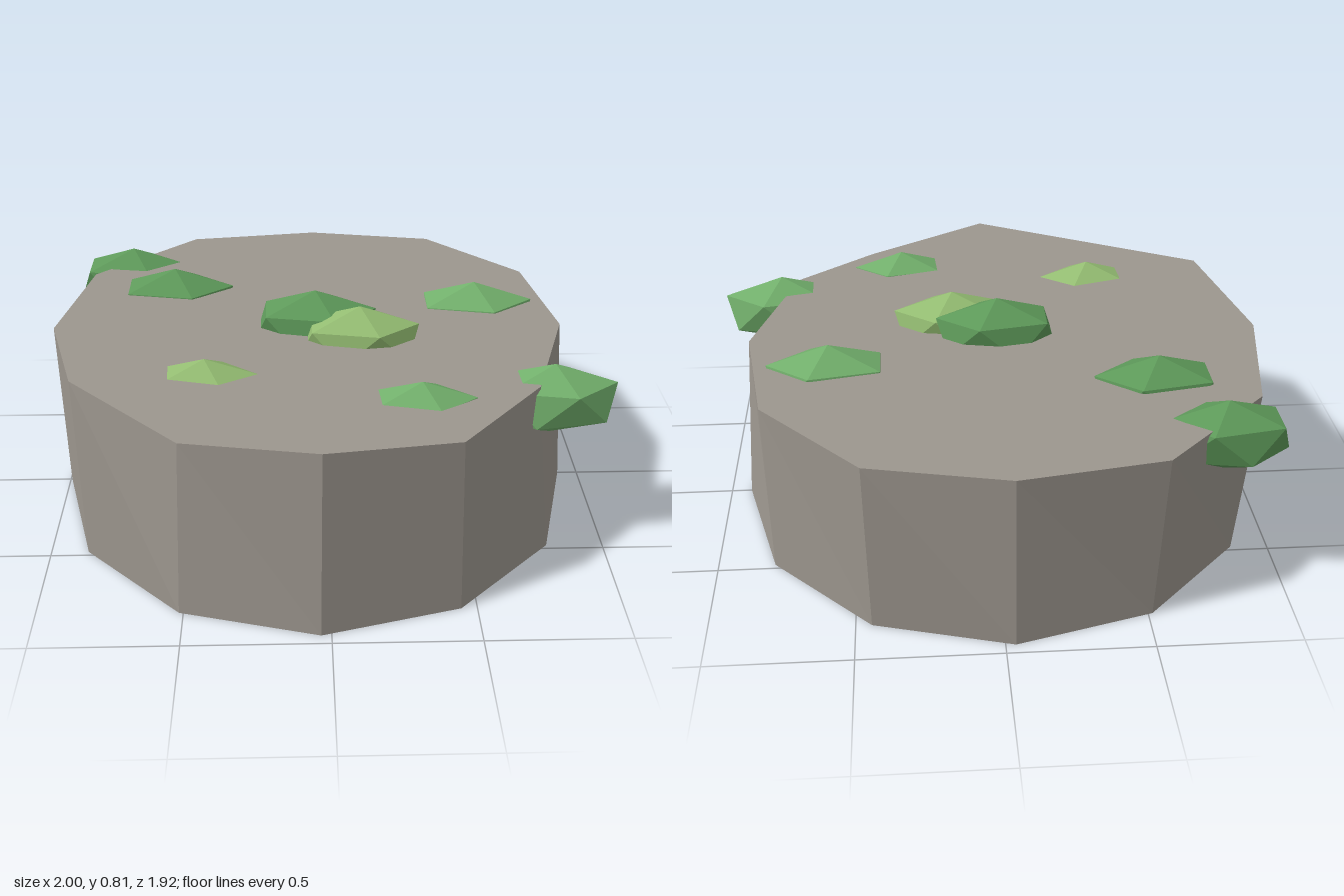
import * as THREE from 'three';
import { ConvexGeometry } from 'three/addons/geometries/ConvexGeometry.js';

const SIDES = 12;
const CENTRE_X = -0.035;
const RADIUS = 0.96;

// Uneven upper rim of the rock, from +x round towards +z
const RIM = [
  [0.875, 0.66, 0], [0.72, 0.67, 0.49], [0.43, 0.64, 0.79], [-0.03, 0.70, 0.945],
  [-0.49, 0.65, 0.79], [-0.87, 0.71, 0.485], [-1, 0.665, 0], [-0.91, 0.655, -0.5],
  [-0.53, 0.65, -0.865], [-0.03, 0.645, -0.94], [0.455, 0.65, -0.845], [0.80, 0.657, -0.48],
];

function fromTriangles(triangles) {
  const geometry = new THREE.BufferGeometry();
  geometry.setAttribute('position', new THREE.Float32BufferAttribute(triangles.flat(2), 3));
  geometry.computeVertexNormals();
  return geometry;
}

function addMesh(group, name, geometry, material) {
  const mesh = new THREE.Mesh(geometry, material);
  mesh.name = name;
  group.add(mesh);
  return mesh;
}

// Five-fold crystal (icosahedron standing on a point), stretched along x
function crystalGeometry() {
  const ringY = 1 / Math.sqrt(5);
  const ringR = 2 / Math.sqrt(5);
  const points = [new THREE.Vector3(0, 1, 0), new THREE.Vector3(0, -1, 0)];
  for (let i = 0; i < 10; i++) {
    const a = (i * Math.PI) / 5;
    points.push(new THREE.Vector3(
      ringR * Math.cos(a), i % 2 ? -ringY : ringY, ringR * Math.sin(a)));
  }
  return new ConvexGeometry(points).scale(1.85, 1, 1);
}

export function createModel() {
  const group = new THREE.Group();
  const stone = new THREE.MeshStandardMaterial({ color: 0x9c968e, flatShading: true });

  // Rock: faceted walls, flat base and a top with corners dipping at the rim
  const foot = RIM.map((_, i) => {
    const a = (i / SIDES) * Math.PI * 2;
    return [CENTRE_X + RADIUS * Math.cos(a), 0, RADIUS * Math.sin(a)];
  });
  const walls = [];
  const base = [];
  const top = [];
  for (let i = 0; i < SIDES; i++) {
    const j = (i + 1) % SIDES;
    walls.push([foot[i], RIM[i], RIM[j]], [foot[i], RIM[j], foot[j]]);
    base.push([[CENTRE_X, 0, 0], foot[i], foot[j]]);
    if (i % 2) {
      const k = (i + 2) % SIDES;
      top.push([RIM[i], RIM[k], RIM[j]], [[-0.03, 0.672, 0], RIM[k], RIM[i]]);
    }
  }
  addMesh(group, 'rockWalls', fromTriangles(walls), stone);
  addMesh(group, 'rockBase', fromTriangles(base), stone);

  // The top is shaded as one even face
  const topGeometry = fromTriangles(top);
  const normals = topGeometry.attributes.normal;
  for (let i = 0; i < normals.count; i++) normals.setXYZ(i, 0, 1, 0);
  const topStone = new THREE.MeshStandardMaterial({ color: 0x9c968e });
  addMesh(group, 'rockTop', topGeometry, topStone);

  // Moss clumps: x, y, z, size, shade
  const greens = [0x5e9a5a, 0x72b06c, 0x94bd72].map(
    (color) => new THREE.MeshStandardMaterial({ color, flatShading: true }));
  const clump = crystalGeometry();
  [
    [-0.035, 0.673, 0, 0.135, 0],
    [0.125, 0.66, 0.10, 0.13, 2],
    [0.575, 0.608, -0.20, 0.135, 1],
    [-0.575, 0.608, -0.35, 0.135, 0],
    [-0.765, 0.582, -0.62, 0.133, 0],
    [-0.42, 0.618, 0.415, 0.133, 2],
    [0.31, 0.63, 0.575, 0.112, 1],
    [0.78, 0.585, 0.42, 0.134, 1],
  ].forEach(([x, y, z, size, shade], i) => {
    const mesh = addMesh(group, `mossClump${i + 1}`, clump, greens[shade]);
    mesh.position.set(x, y, z);
    mesh.scale.setScalar(size);
  });

  return group;
}
